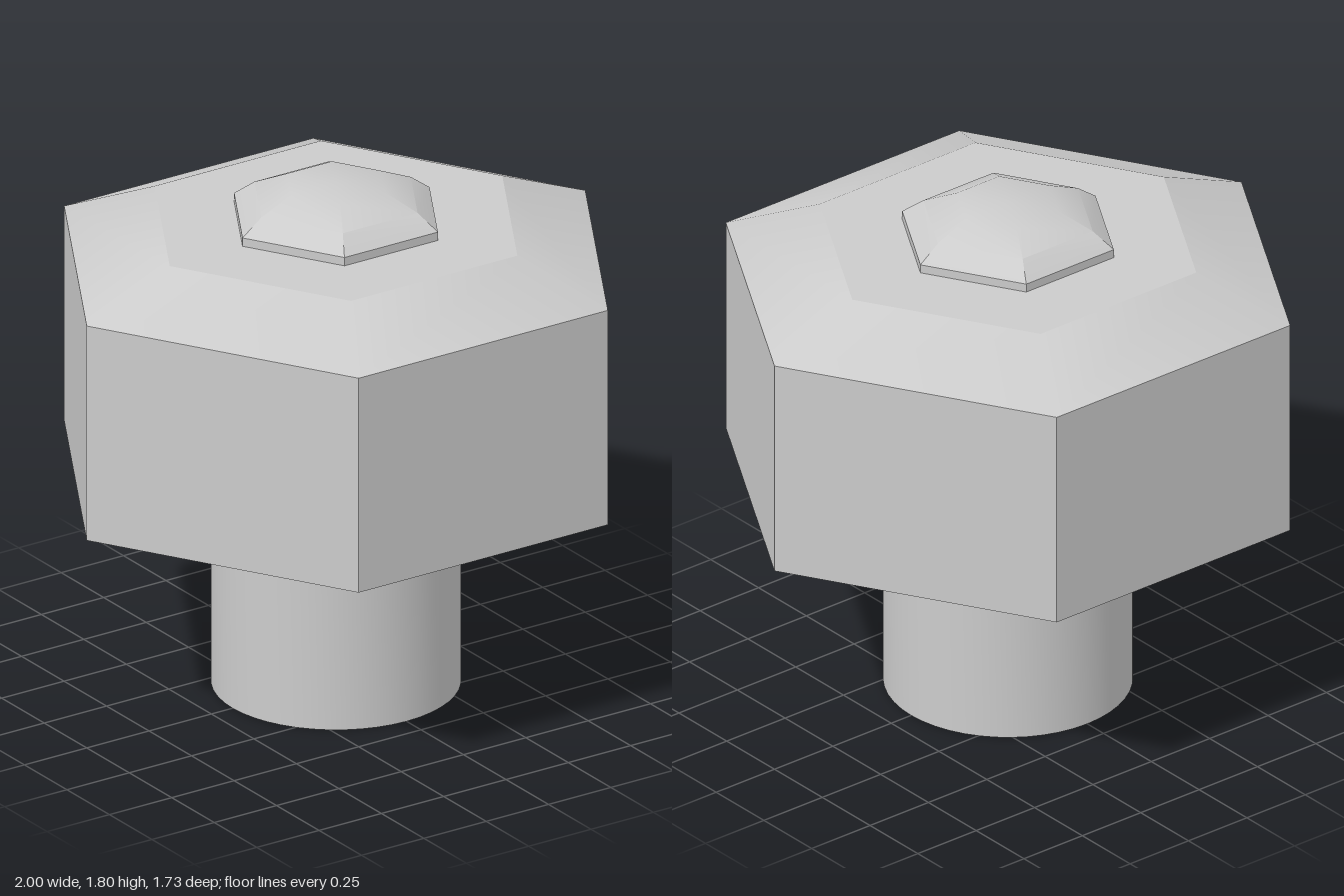
import * as THREE from 'three';
import { toCreasedNormals } from 'three/addons/utils/BufferGeometryUtils.js';

export function createModel() {
  const model = new THREE.Group();
  const grey = new THREE.MeshStandardMaterial({ color: 0xcccccc });
  const thin = new THREE.MeshStandardMaterial({ color: 0xcccccc, side: THREE.DoubleSide });

  const add = (name, geometry, material = grey) => {
    const mesh = new THREE.Mesh(geometry, material);
    mesh.name = name;
    model.add(mesh);
    return mesh;
  };
  // Revolved profile of [radius, y] points; hexes have a corner on the x axis
  const turn = (points, sides, crease) => toCreasedNormals(
    new THREE.LatheGeometry(points.map(([r, y]) => new THREE.Vector2(r, y)), sides, Math.PI / 2), crease);

  // Hexagonal head: underside, sharp sides, softly shaded chamfer, flat top
  add('headSides', turn([[0.75, 0.75], [1, 0.75], [1, 1.525]], 6, 0.3));
  const chamfer = new THREE.CylinderGeometry(0.667, 1, 0.135, 6, 1, true, Math.PI / 2);
  chamfer.translate(0, 1.5925, 0);
  add('headChamfer', chamfer);
  add('headTop', turn([[0.667, 1.66], [0, 1.66]], 6, 0.3));
  add('headUnderside', turn([[0.4, 0.735], [0.46, 0.735], [0.75, 0.75]], 6, 0.3));

  // Small hexagonal domed cap
  add('cap', turn([[0.375, 1.66], [0.375, 1.69], [0.3, 1.745], [0.18, 1.797], [0, 1.797]], 6, 0.55));

  // Hollow round shank, closed inside the head
  add('shank', turn([
    [0, 0.74], [0.375, 0.74], [0.375, 0], [0.415, 0], [0.415, 0.76],
  ], 48, 0.5));

  // Thin ribs inside the shank, rising from the axis to the wall
  for (let i = 0; i < 6; i++) {
    const rib = new THREE.BufferGeometry();
    rib.setAttribute('position', new THREE.Float32BufferAttribute([
      0, 0.05, 0, 0.37, 0.34, 0.05, 0.37, 0.34, -0.05,
    ], 3));
    rib.computeVertexNormals();
    add('innerRib', rib, thin).rotation.y = (i * Math.PI) / 3;
  }
  return model;
}
